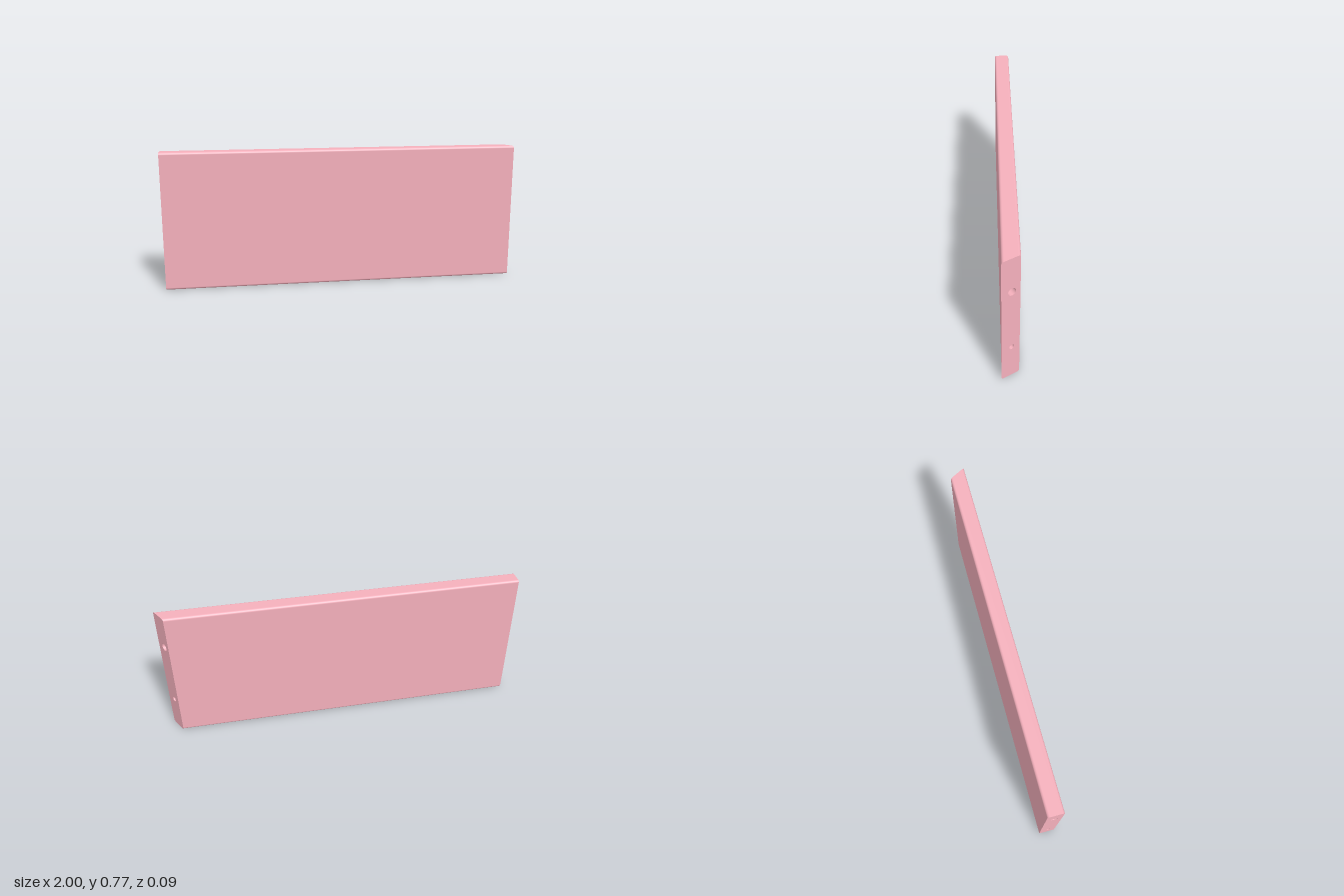
import * as THREE from 'three';

const HEIGHT = 0.773, THICK = 0.088, ROUND = 0.013;
const MITRE = Math.PI / 6;
const material = new THREE.MeshStandardMaterial({ color: 0xf5b0bc });
const holeMaterial = new THREE.MeshStandardMaterial({ color: 0xf5b0bc, side: THREE.DoubleSide });

// Rounded cross-section of the board in z and y, with its outward normals
function crossSection(steps = 8) {
  const ring = [];
  for (let corner = 0; corner < 4; corner++) {
    const sz = corner === 0 || corner === 3 ? 1 : -1;
    const sy = corner < 2 ? 1 : -1;
    for (let i = 0; i <= steps; i++) {
      const a = (corner + i / steps) * Math.PI / 2;
      const nz = Math.cos(a), ny = Math.sin(a);
      ring.push({
        z: sz * (THICK / 2 - ROUND) + ROUND * nz,
        y: HEIGHT / 2 + sy * (HEIGHT / 2 - ROUND) + ROUND * ny,
        nz, ny,
      });
    }
  }
  return ring;
}

// Long faces, running from the square end to the mitred end
function boardSides(ring) {
  const pos = [], nor = [], index = [];
  ring.forEach((p, i) => {
    pos.push(-1, p.y, p.z, 1 - (THICK / 2 - p.z) * Math.tan(MITRE), p.y, p.z);
    nor.push(0, p.ny, p.nz, 0, p.ny, p.nz);
    const a = 2 * i, c = 2 * ((i + 1) % ring.length);
    index.push(a, a + 1, c + 1, a, c + 1, c);
  });
  const g = new THREE.BufferGeometry();
  g.setAttribute('position', new THREE.Float32BufferAttribute(pos, 3));
  g.setAttribute('normal', new THREE.Float32BufferAttribute(nor, 3));
  g.setIndex(index);
  const mesh = new THREE.Mesh(g, material);
  mesh.name = 'boardSides';
  return mesh;
}

// End face with blind dowel holes drilled square to it; local +z points outward
function boardEnd(name, ring, stretch, holes) {
  const group = new THREE.Group();
  group.name = name;
  const shape = new THREE.Shape(ring.map(p => new THREE.Vector2(p.z * stretch, p.y)));
  for (const { x, y, r, depth } of holes) {
    shape.holes.push(new THREE.Path().absarc(x, y, r, 0, Math.PI * 2, true));
    const wall = new THREE.Mesh(
      new THREE.CylinderGeometry(r, r, depth, 32, 1, true).rotateX(Math.PI / 2), holeMaterial);
    wall.position.set(x, y, -depth / 2);
    wall.name = 'holeWall';
    const floor = new THREE.Mesh(new THREE.CircleGeometry(r, 32), material);
    floor.position.set(x, y, -depth);
    floor.name = 'holeFloor';
    group.add(wall, floor);
  }
  const face = new THREE.Mesh(new THREE.ShapeGeometry(shape, 16), material);
  face.name = 'endFace';
  group.add(face);
  return group;
}

export function createModel() {
  const model = new THREE.Group();
  model.name = 'mitredBoard';
  const ring = crossSection();
  model.add(boardSides(ring));

  const mitred = boardEnd('mitredEnd', ring, 1 / Math.cos(MITRE), [
    { x: 0.006, y: 0.572, r: 0.0215, depth: 0.057 },
    { x: 0.006, y: 0.204, r: 0.0145, depth: 0.057 },
  ]);
  mitred.position.x = 1 - (THICK / 2) * Math.tan(MITRE);
  mitred.rotation.y = Math.PI / 2 + MITRE;

  const square = boardEnd('squareEnd', ring, 1, [
    { x: 0, y: 0.62, r: 0.02, depth: 0.06 },
    { x: 0, y: 0.127, r: 0.0125, depth: 0.06 },
  ]);
  square.position.x = -1;
  square.rotation.y = -Math.PI / 2;

  model.add(mitred, square);
  return model;
}
